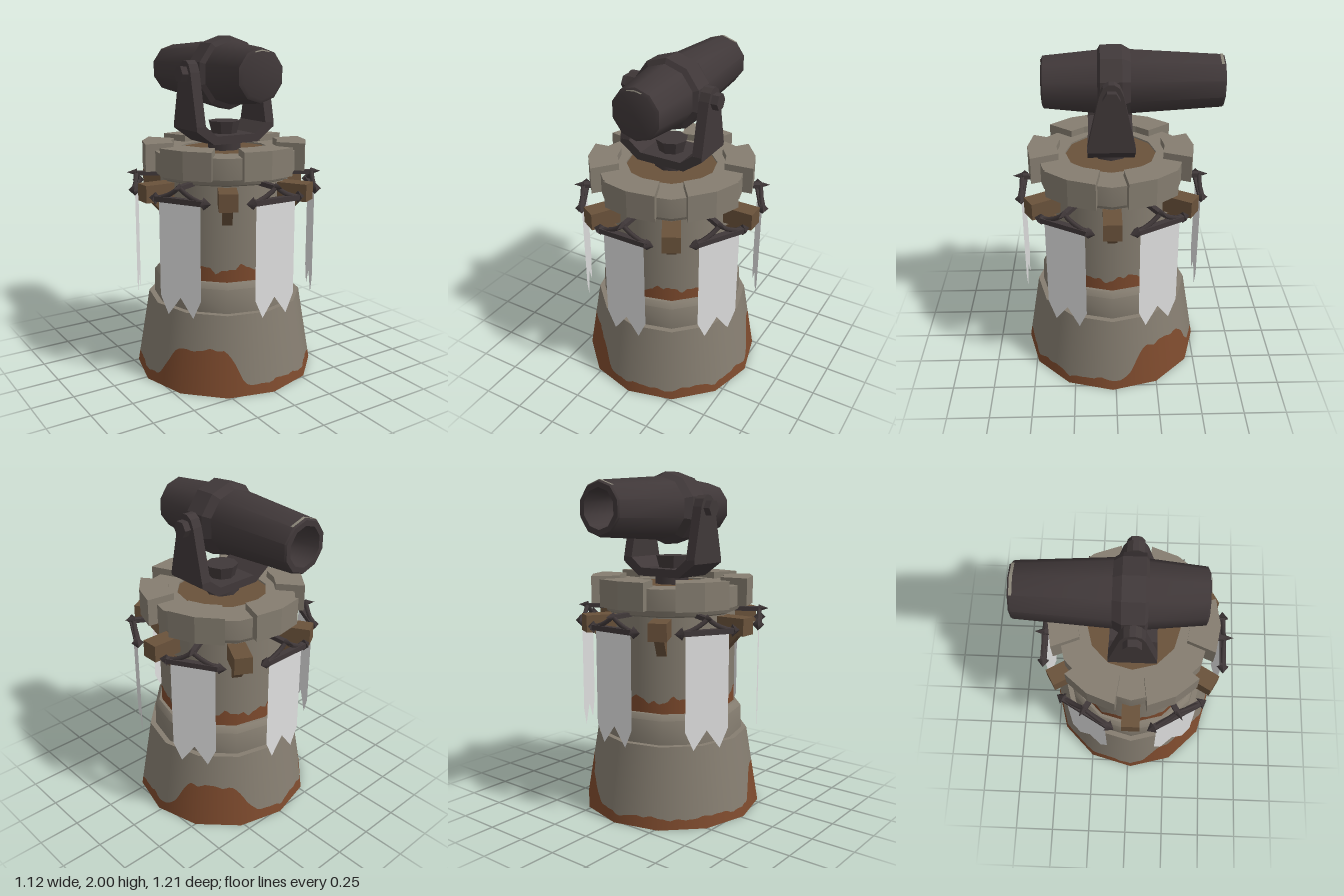
import * as THREE from 'three';
import { toCreasedNormals } from 'three/addons/utils/BufferGeometryUtils.js';

const mat = (name, color, side = THREE.FrontSide) => {
  const m = new THREE.MeshStandardMaterial({ color, side });
  m.name = name;
  return m;
};
const DEG = Math.PI / 180;
const V2 = (x, y) => new THREE.Vector2(x, y);

export function createModel() {
  const stone = mat('stone', 0x857d70, THREE.DoubleSide);
  const rust = mat('rust', 0x7d4a2d, THREE.DoubleSide);
  const wood = mat('wood', 0x6a523b);
  const iron = mat('dark iron', 0x403839);
  const worn = mat('worn edge', 0x8c877a, THREE.DoubleSide);
  const cloth = mat('cloth', 0xe0e0e0, THREE.DoubleSide);

  const model = new THREE.Group();
  const tower = new THREE.Group();
  tower.name = 'tower';
  tower.position.z = 0.02;
  const cannon = new THREE.Group();
  cannon.name = 'cannon';
  model.add(tower, cannon);

  const add = (parent, name, geo, material, x = 0, y = 0, z = 0) => {
    const m = new THREE.Mesh(geo, material);
    m.name = name;
    m.position.set(x, y, z);
    parent.add(m);
    return m;
  };
  const lathe = (pts, sides, crease = 0.66) =>
    toCreasedNormals(new THREE.LatheGeometry(pts.map(p => V2(...p)), sides), crease);
  const polygon = pts => new THREE.Shape(pts.map(p => V2(...p)));
  const extrude = (shape, depth) => new THREE.ExtrudeGeometry(shape, { depth, bevelEnabled: false });

  // Twelve-sided tapered wall strip between two height rules, smooth around
  const strip = (r0, y0, r1, y1, low, high) => {
    const pos = [], nor = [], idx = [], N = 144;
    for (let i = 0; i <= N; i++) {
      const a = (i / N) * 360 - 180;
      const off = (((a % 30) + 30) % 30) - 15;
      const flat = Math.cos(15 * DEG) / Math.cos(off * DEG);
      const s = Math.sin(a * DEG), c = Math.cos(a * DEG);
      const n = new THREE.Vector3(s, (r0 - r1) / (y1 - y0), c).normalize();
      for (const y of [low(a), high(a)]) {
        const r = (r0 + (r1 - r0) * (y - y0) / (y1 - y0)) * flat;
        pos.push(r * s, y, r * c);
        nor.push(n.x, n.y, n.z);
      }
      if (i < N) idx.push(2 * i, 2 * i + 2, 2 * i + 1, 2 * i + 1, 2 * i + 2, 2 * i + 3);
    }
    const g = new THREE.BufferGeometry();
    g.setAttribute('position', new THREE.Float32BufferAttribute(pos, 3));
    g.setAttribute('normal', new THREE.Float32BufferAttribute(nor, 3));
    g.setIndex(idx);
    return g;
  };
  const wall = (name, r0, y0, r1, y1, edge) => {
    add(tower, name + 'Rust', strip(r0, y0, r1, y1, () => y0, edge), rust);
    add(tower, name, strip(r0, y0, r1, y1, edge, () => y1), stone);
  };

  // Tower walls with ragged rust along their feet
  const jag = a => 0.5 * Math.sin(a * 9 * DEG + 1) + 0.3 * Math.sin(a * 23 * DEG) + 0.2 * Math.sin(a * 41 * DEG);
  const hump = (a, centre) => {
    const d = Math.abs(((a - centre + 540) % 360) - 180);
    return 1 - THREE.MathUtils.smoothstep(d, 15, 34);
  };
  wall('base', 0.54, 0, 0.463, 0.465,
    a => 0.06 + 0.2 * (hump(a, -48) + hump(a, 130)) + 0.016 * jag(a));
  wall('column', 0.382, 0.635, 0.382, 1.19, a => 0.71 + 0.032 * jag(a * 1 + 20));
  add(tower, 'collar', lathe([[0.463, 0.465], [0.43, 0.465], [0.425, 0.605], [0.4, 0.635], [0.38, 0.635]], 12), stone);
  add(tower, 'parapet', lathe([[0.382, 1.19], [0.405, 1.2], [0.42, 1.235], [0.44, 1.235], [0.44, 1.355],
    [0.265, 1.355], [0.265, 1.33]], 12), stone);
  add(tower, 'woodenDeck', new THREE.CylinderGeometry(0.268, 0.268, 0.02, 12), wood, 0, 1.335, 0);

  // Merlons
  const arc = (r, angles) => angles.map(a => [r * Math.sin(a * DEG), -r * Math.cos(a * DEG)]);
  const merlonGeo = extrude(polygon([...arc(0.485, [-19.5, 0, 19.5]), ...arc(0.315, [18, 0, -18])]), 0.16);
  merlonGeo.rotateX(-Math.PI / 2);

  // Banner cloth with two points, and its hanging ironwork
  const clothGeo = new THREE.ShapeGeometry(polygon([[-0.13, 1.13], [-0.13, 0.575], [-0.08, 0.465],
    [0, 0.575], [0.08, 0.465], [0.13, 0.575], [0.13, 1.13]]));
  const buildBanner = () => {
    const g = new THREE.Group();
    g.name = 'banner';
    add(g, 'cloth', clothGeo, cloth, 0, 0, 0.525);
    add(g, 'rod', new THREE.BoxGeometry(0.32, 0.03, 0.035), iron, 0, 1.13, 0.525);
    for (const s of [-1, 1]) {
      const finial = new THREE.ConeGeometry(0.036, 0.045, 4);
      finial.rotateZ(-s * Math.PI / 2);
      add(g, 'finial', finial, iron, s * 0.172, 1.13, 0.525);
      const curve = new THREE.QuadraticBezierCurve3(new THREE.Vector3(0, 1.205, 0.525),
        new THREE.Vector3(s * 0.05, 1.155, 0.525), new THREE.Vector3(s * 0.135, 1.135, 0.525));
      add(g, 'scrollArm', new THREE.TubeGeometry(curve, 5, 0.014, 5), iron);
    }
    const spike = new THREE.ConeGeometry(0.022, 0.06, 4);
    spike.rotateX(Math.PI / 2);
    add(g, 'spike', spike, iron, 0, 1.205, 0.55);
    add(g, 'bracket', new THREE.BoxGeometry(0.03, 0.025, 0.15), iron, 0, 1.2, 0.455);
    return g;
  };

  // Support beam with a diagonal brace beneath
  const braceGeo = extrude(polygon([[-0.36, 0.975], [-0.395, 0.975], [-0.5, 1.09], [-0.43, 1.09], [-0.36, 1.04]]), 0.056);
  braceGeo.translate(0, 0, -0.028).rotateY(Math.PI / 2);
  for (let k = 0; k < 6; k++) {
    const a = k * 60 * DEG;
    add(tower, 'merlon', merlonGeo, stone, 0, 1.235, 0).rotation.y = a;
    const banner = buildBanner();
    banner.rotation.y = a;
    tower.add(banner);
    const support = new THREE.Group();
    support.name = 'support';
    support.rotation.y = a + 30 * DEG;
    add(support, 'beam', new THREE.BoxGeometry(0.104, 0.1, 0.2), wood, 0, 1.135, 0.447);
    add(support, 'brace', braceGeo, wood);
    tower.add(support);
  }

  // Swivel mount: pedestal, cradle, cheeks, pivots
  add(cannon, 'pedestal', new THREE.CylinderGeometry(0.1, 0.1, 0.07, 8).toNonIndexed(), iron, 0, 1.37, 0.02);
  const nut = new THREE.CylinderGeometry(0.095, 0.075, 0.075, 8).toNonIndexed();
  nut.computeVertexNormals();
  add(cannon, 'swivelNut', nut, iron, 0, 1.475, 0.02);
  const cradle = extrude(polygon([[-0.265, 1.5], [-0.265, 1.475], [-0.15, 1.392], [0.15, 1.392], [0.265, 1.475],
    [0.265, 1.5], [0.205, 1.5], [0.13, 1.44], [-0.13, 1.44], [-0.205, 1.5]]), 0.265);
  add(cannon, 'cradle', cradle, iron, 0, 0, 0.02 - 0.1325);
  const cheek = extrude(polygon([[-0.132, 1.5], [0.132, 1.5], [0.065, 1.8], [0.045, 1.845], [0.015, 1.865],
    [-0.015, 1.865], [-0.045, 1.845], [-0.065, 1.8]]), 0.06);
  cheek.translate(0, 0, -0.03).rotateY(Math.PI / 2);
  const bolt = new THREE.CylinderGeometry(0.048, 0.048, 0.14, 6).toNonIndexed();
  bolt.computeVertexNormals();
  bolt.rotateZ(Math.PI / 2);
  for (const s of [-1, 1]) {
    add(cannon, 'cheek', cheek, iron, s * 0.235, 0, 0.02);
    add(cannon, 'pivotBolt', bolt, iron, s * 0.235, 1.79, 0.02);
  }

  // Barrel, hollow at the muzzle, with a raised faceted band
  const alongZ = geo => geo.rotateX(-Math.PI / 2);
  const barrel = lathe([[0.001, -0.4], [0.13, -0.4], [0.15, -0.39], [0.182, -0.08], [0.182, 0.09], [0.15, 0.595],
    [0.142, 0.605], [0.112, 0.605], [0.1, 0.38], [0.001, 0.38]], 10);
  add(cannon, 'barrel', alongZ(barrel), iron, 0, 1.79, 0);
  const band = lathe([[0.178, -0.095], [0.21, -0.078], [0.21, 0.04], [0.18, 0.09]], 10, 0.1);
  add(cannon, 'barrelBand', alongZ(band), iron, 0, 1.79, 0);

  // Worn slivers on the upper lips of the barrel ends
  const sliver = (r0, y0, r1, y1, half) => alongZ(new THREE.LatheGeometry([V2(r0, y0), V2(r1, y1)], 2, -half, 2 * half));
  add(cannon, 'muzzleWear', sliver(0.153, 0.58, 0.152, 0.596, 36 * DEG), worn, 0, 1.79, 0);
  add(cannon, 'breechWear', sliver(0.132, -0.402, 0.138, -0.399, 20 * DEG), worn, 0, 1.79, 0);

  return model;
}
